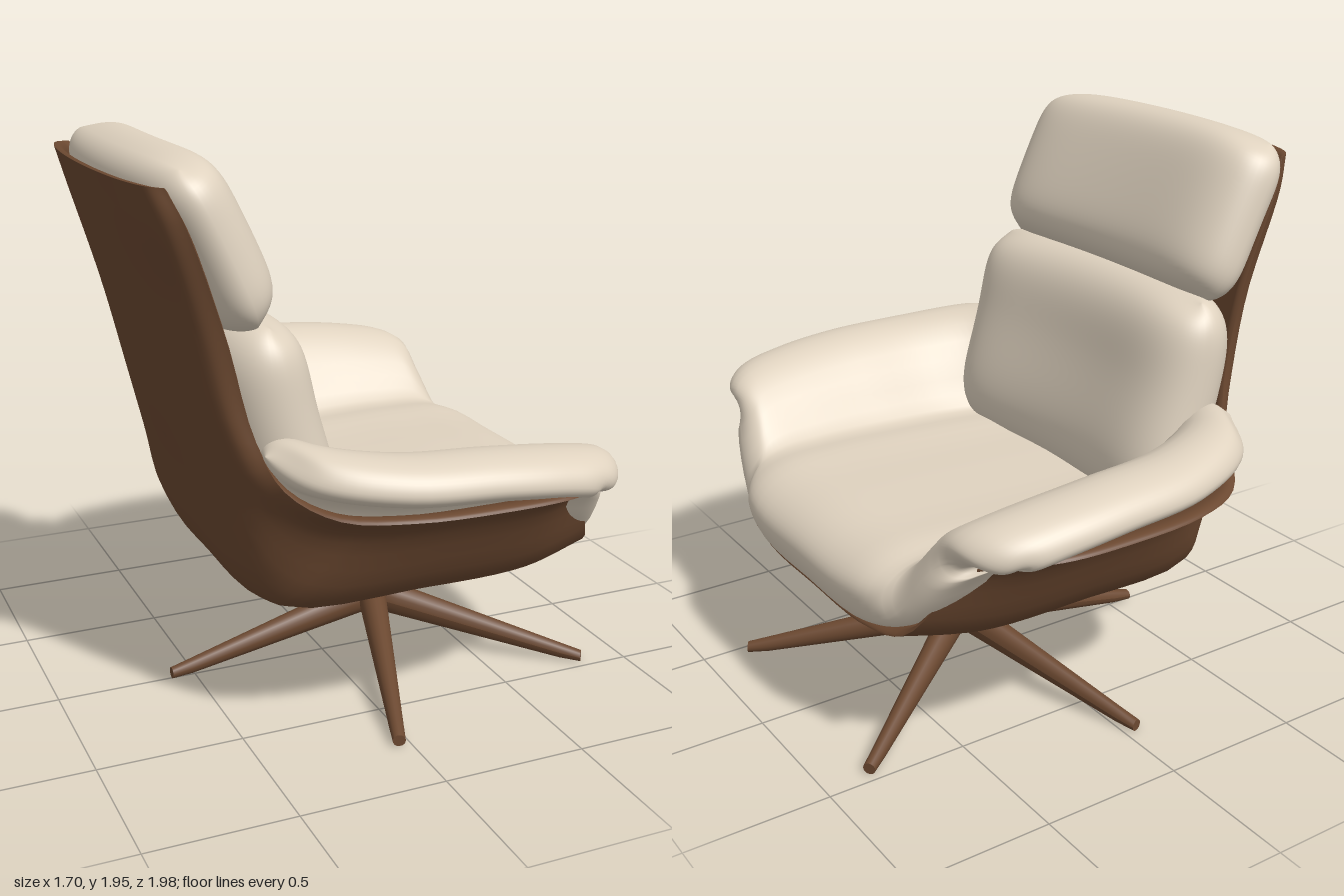
import * as THREE from 'three';
import { mergeVertices } from 'three/addons/utils/BufferGeometryUtils.js';

const V = (x, y, z = 0) => new THREE.Vector3(x, y, z);
const clamp = (a) => Math.max(-1, Math.min(1, a));
const { lerp, smoothstep } = THREE.MathUtils;

// Thick sheet: offsets sheet(u,v), u and v in -1..1, along its normal and closes it at the edges
function pillow(sheet, thick, { front = 1, back = 1, pu = 6, pv = 6, n = 44 } = {}) {
  const pos = [], index = [], row = n + 1, side = row * row, e = 0.004;
  const sample = (k) => (k === 0 ? -1 : k === n ? 1 : Math.sin((Math.PI / 2) * (2 * k / n - 1)));
  const slope = (f, a) => f(clamp(a + e)).sub(f(clamp(a - e)));
  for (const s of [front, -back]) {
    for (let i = 0; i <= n; i++) for (let j = 0; j <= n; j++) {
      const u = sample(i), v = sample(j);
      const normal = slope((a) => sheet(a, v), u).cross(slope((a) => sheet(u, a), v)).normalize();
      const fall = Math.sqrt(Math.max(0, (1 - Math.abs(u) ** pu) * (1 - Math.abs(v) ** pv)));
      pos.push(...sheet(u, v).addScaledVector(normal, s * fall * thick(u, v)).toArray());
    }
  }
  for (let i = 0; i < n; i++) for (let j = 0; j < n; j++) {
    const a = i * row + j, b = a + row;
    index.push(a, b, a + 1, b, b + 1, a + 1);
    index.push(side + a, side + a + 1, side + b, side + b, side + a + 1, side + b + 1);
  }
  const g = new THREE.BufferGeometry();
  g.setAttribute('position', new THREE.Float32BufferAttribute(pos, 3));
  g.setIndex(index);
  const merged = mergeVertices(g, 1e-5);
  merged.computeVertexNormals();
  return merged;
}

// Half cross-sections: shares of the way from centre to rim in width, height and (if different) depth
const BACK = [[0, 0], [0.4, 0.07], [0.75, 0.28], [0.94, 0.6], [1, 1]];
const PAN = [[0, 0], [0.4, 0.02], [0.64, 0.17], [0.83, 0.8], [1, 1]];
const CUSHION = [[0, 0, 0], [0.38, 0.02, 0.03], [0.58, 0.2, 0.18], [0.8, 0.95, 0.5], [1, 1, 1]];

// Bowl sheet: each station is [centre x, y, rim x, y, z, flare]; flare blends the back section into the seat section
function bowl(stations, section) {
  const lanes = BACK.map(([backWidth, backRise], k) => {
    const [width, rise, depth = rise] = section[k];
    return new THREE.CatmullRomCurve3(stations.map(([cx, cy, rx, ry, rz, f]) => V(
      lerp(cx, rx, lerp(backRise, depth, f)),
      lerp(cy, ry, lerp(backRise, rise, f)),
      rz * lerp(backWidth, width, f),
    )));
  });
  return (u, v) => {
    const half = lanes.map((c) => c.getPoint((u + 1) / 2));
    const mirrored = half.slice(1).reverse().map((p) => V(p.x, p.y, -p.z));
    const p = new THREE.CatmullRomCurve3([...mirrored, ...half]).getPoint((v + 1) / 2);
    return V(p.x, p.y, -p.z);
  };
}

// Rounded, slightly wrapped upright cushion sheet that follows a side curve from top to bottom
function upright(points, halfWidth, bow) {
  const curve = new THREE.CatmullRomCurve3(points);
  return (u, v) => {
    const p = curve.getPoint((1 + u * (1 - 0.07 * v ** 6)) / 2);
    return V(p.x + bow * v * v, p.y, -halfWidth * v * (1 - 0.12 * u ** 6));
  };
}

// Tapered leg running out along +x from the hub to a blunt foot on the floor
function legGeometry() {
  const g = new THREE.CylinderGeometry(1, 1, 1, 16, 10);
  const p = g.attributes.position;
  for (let i = 0; i < p.count; i++) {
    const t = 0.5 - p.getY(i), a = p.getX(i), b = p.getZ(i);
    const top = 0.258 - 0.218 * t, bottom = 0.13 * Math.max(0, 1 - t / 0.95);
    p.setXYZ(i, 0.03 + 0.757 * t, (top + bottom + a * (top - bottom)) / 2, b * (0.052 - 0.03 * t));
  }
  g.computeVertexNormals();
  return g;
}

export function createModel() {
  const chair = new THREE.Group();
  chair.name = 'loungeChair';
  const wood = new THREE.MeshStandardMaterial({ color: 0x6b4830 });
  wood.name = 'brown wood';
  const fabric = new THREE.MeshStandardMaterial({ color: 0xdfd2bf });
  fabric.name = 'beige upholstery';
  const add = (name, geometry, material, parent = chair) => {
    const mesh = new THREE.Mesh(geometry, material);
    mesh.name = name;
    parent.add(mesh);
    return mesh;
  };

  // Shell: back, seat pan and arm wings in one bowl
  const shell = bowl([
    [-0.85, 1.87, -0.73, 1.86, 0.56, 0],
    [-0.815, 1.75, -0.68, 1.75, 0.59, 0],
    [-0.715, 1.4, -0.56, 1.4, 0.58, 0],
    [-0.63, 1.08, -0.48, 1.07, 0.61, 0],
    [-0.54, 0.78, -0.43, 0.94, 0.72, 0.5],
    [-0.47, 0.53, -0.31, 0.88, 0.87, 1],
    [-0.39, 0.435, -0.1, 0.875, 0.96, 1],
    [0.1, 0.42, 0.2, 0.875, 0.985, 1],
    [0.5, 0.425, 0.43, 0.875, 0.97, 1],
    [0.78, 0.475, 0.59, 0.865, 0.89, 1],
  ], PAN);
  add('shell', pillow(shell, () => 0.035, { back: 0, pu: 24, pv: 24, n: 56 }), wood);

  // Seat cushion that sweeps up over both arms
  const seat = bowl([
    [-0.42, 0.6, -0.47, 1.04, 0.66, 1],
    [-0.32, 0.59, -0.36, 0.995, 0.85, 1],
    [-0.1, 0.59, -0.11, 0.96, 0.96, 1],
    [0.2, 0.6, 0.2, 0.945, 0.99, 1],
    [0.48, 0.61, 0.41, 0.92, 0.985, 1],
    [0.68, 0.6, 0.54, 0.89, 0.96, 1],
    [0.81, 0.52, 0.59, 0.85, 0.89, 1],
  ], CUSHION);
  const seatThickness = (u, v) => 0.15 - 0.055 * smoothstep(Math.abs(v), 0.2, 0.6);
  add('seatCushion', pillow(seat, seatThickness, { back: 0.78, pu: 8, pv: 10, n: 56 }), fabric);

  // Back cushion and headrest
  const backSheet = upright([V(-0.475, 1.435), V(-0.41, 1.1), V(-0.27, 0.66)], 0.635, 0.06);
  add('backCushion', pillow(backSheet, () => 0.17, { pu: 4, pv: 6 }), fabric);
  const headSheet = upright([V(-0.73, 1.925), V(-0.6, 1.67), V(-0.475, 1.395)], 0.62, 0.04);
  add('headrest', pillow(headSheet, () => 0.16, { back: 0.7, pu: 5, pv: 6 }), fabric);

  // Swivel base: column, hub and five legs
  const base = new THREE.Group();
  base.name = 'swivelBase';
  base.position.x = 0.2;
  chair.add(base);
  add('column', new THREE.CylinderGeometry(0.034, 0.034, 0.22, 24), wood, base).position.y = 0.35;
  const hub = [[0, 0.13], [0.06, 0.135], [0.08, 0.19], [0.075, 0.25], [0.05, 0.272], [0, 0.275]];
  add('hub', new THREE.LatheGeometry(hub.map(([r, y]) => new THREE.Vector2(r, y)), 24), wood, base);
  const leg = legGeometry();
  for (let i = 0; i < 5; i++) {
    add('leg' + (i + 1), leg, wood, base).rotation.y = Math.PI + (i * 2 * Math.PI) / 5;
  }
  return chair;
}
